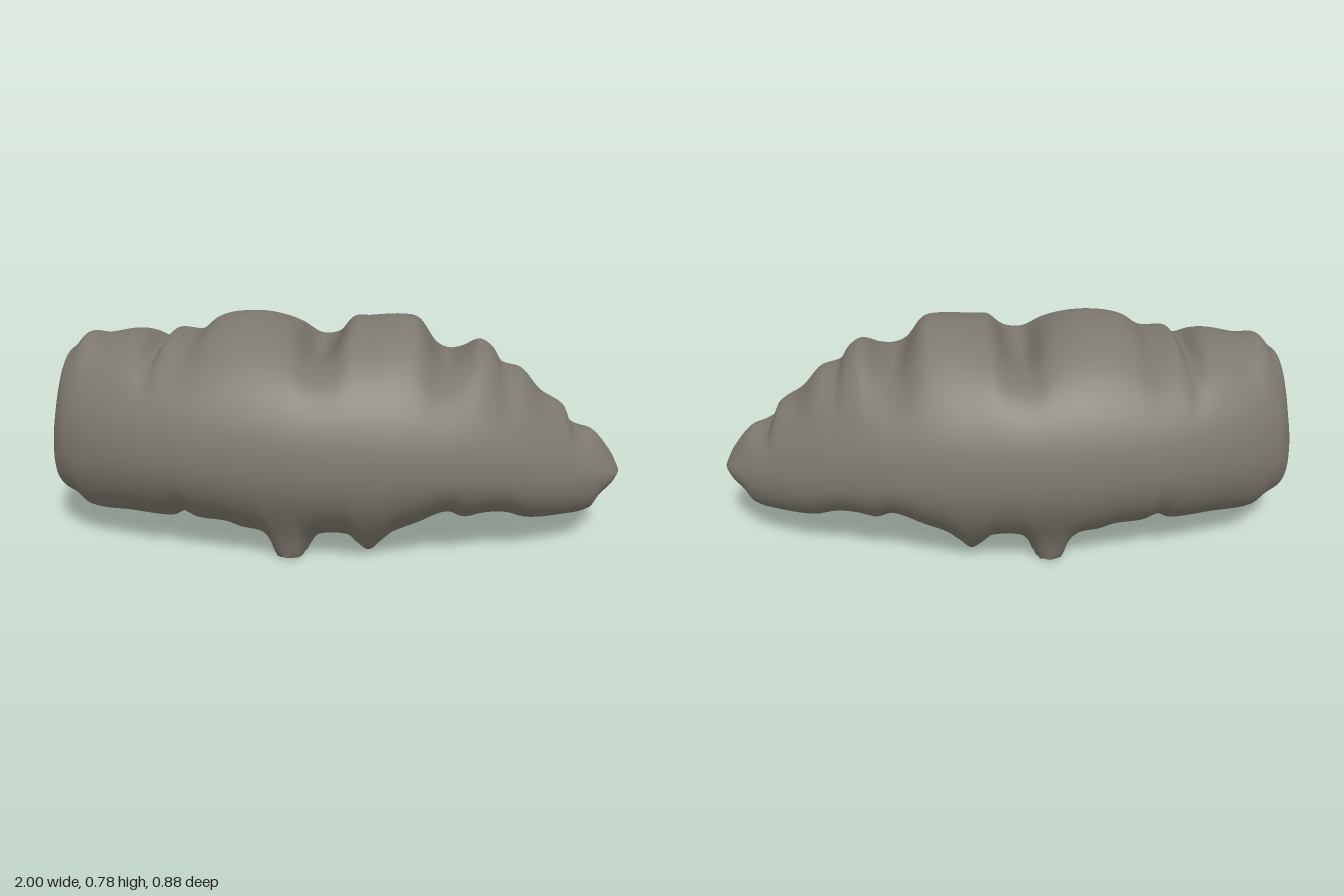
import * as THREE from 'three';
import { toCreasedNormals } from 'three/addons/utils/BufferGeometryUtils.js';

// Smooth curve through [x, value] points
function curveThrough(points) {
  const slope = (i) => {
    const a = points[Math.max(i - 1, 0)], b = points[Math.min(i + 1, points.length - 1)];
    return (b[1] - a[1]) / (b[0] - a[0]);
  };
  return (x) => {
    let i = 0;
    while (i < points.length - 2 && x > points[i + 1][0]) i++;
    const [x0, y0] = points[i], [x1, y1] = points[i + 1];
    const h = x1 - x0, t = (x - x0) / h, t2 = t * t, t3 = t2 * t;
    return (2 * t3 - 3 * t2 + 1) * y0 + (t3 - 2 * t2 + t) * h * slope(i)
      + (3 * t2 - 2 * t3) * y1 + (t3 - t2) * h * slope(i + 1);
  };
}

// Lumpy crest, and the smoother shoulder it fades into
const crest = curveThrough([
  [-1, 0.34], [-0.98, 0.4], [-0.96, 0.46], [-0.945, 0.6], [-0.9, 0.66], [-0.86, 0.7], [-0.8, 0.695],
  [-0.7, 0.71], [-0.65, 0.7], [-0.6, 0.66], [-0.56, 0.71], [-0.48, 0.7], [-0.4, 0.76], [-0.3, 0.78],
  [-0.2, 0.77], [-0.12, 0.73], [-0.06, 0.65], [0, 0.67], [0.06, 0.76], [0.12, 0.77], [0.25, 0.78],
  [0.3, 0.76], [0.36, 0.66], [0.4, 0.64], [0.44, 0.66], [0.5, 0.7], [0.55, 0.67], [0.58, 0.62],
  [0.65, 0.6], [0.72, 0.52], [0.8, 0.47], [0.83, 0.4], [0.9, 0.39], [0.97, 0.31], [1, 0.25],
]);
const shoulder = curveThrough([
  [-1, 0.34], [-0.95, 0.56], [-0.9, 0.65], [-0.8, 0.69], [-0.6, 0.72], [-0.3, 0.77], [0, 0.775],
  [0.2, 0.76], [0.35, 0.72], [0.5, 0.66], [0.7, 0.54], [0.9, 0.37], [1, 0.25],
]);
// Underside; values below zero are cut flat to make the two feet
const belly = curveThrough([
  [-1, 0.16], [-0.95, 0.13], [-0.9, 0.11], [-0.85, 0.07], [-0.7, 0.065], [-0.55, 0.06], [-0.5, 0.085],
  [-0.45, 0.06], [-0.35, 0.05], [-0.3, 0.03], [-0.23, 0.015], [-0.2, -0.02], [-0.17, -0.11],
  [-0.13, -0.14], [-0.09, -0.11], [-0.06, -0.02], [-0.03, 0.015], [0.07, 0.015], [0.1, -0.02],
  [0.14, -0.05], [0.18, -0.01], [0.22, 0.03], [0.3, 0.07], [0.4, 0.12], [0.46, 0.095], [0.53, 0.11],
  [0.6, 0.11], [0.68, 0.085], [0.8, 0.09], [0.9, 0.11], [0.93, 0.16], [0.97, 0.2], [1, 0.25],
]);
// Height of the widest line
const middle = curveThrough([
  [-1, 0.26], [-0.9, 0.35], [-0.5, 0.37], [0, 0.35], [0.5, 0.33], [0.8, 0.27], [1, 0.25],
]);
// Half width, stored squared so the ends come out round
const widthSquared = curveThrough([
  [-1, 0], [-0.95, 0.19], [-0.9, 0.25], [-0.8, 0.31], [-0.6, 0.38], [-0.4, 0.42], [-0.12, 0.44],
  [0.2, 0.42], [0.4, 0.38], [0.6, 0.31], [0.8, 0.21], [0.9, 0.145], [1, 0],
].map(([x, w]) => [x, w * w]));

function bodyGeometry(sections = 260, sides = 96) {
  const positions = [], indices = [];
  for (let i = 0; i <= sections; i++) {
    const x = -Math.cos((Math.PI * i) / sections);
    const w = Math.sqrt(Math.max(widthSquared(x), 0));
    const mid = middle(x), low = belly(x);
    for (let j = 0; j < sides; j++) {
      const a = (2 * Math.PI * j) / sides;
      const s = Math.sin(a);
      let y, z = w * Math.cos(a);
      if (s >= 0) {
        // Lumps are strongest along the ridge and fade down the flanks
        const top = THREE.MathUtils.lerp(shoulder(x), crest(x), s ** 4);
        y = mid + (top - mid) * s;
      } else {
        y = Math.max(mid + (mid - low) * s, 0);
        // Pinch above the feet so they flare out at the ground
        if (low < 0) z *= 1 - 0.09 * Math.min(1, -low / 0.1) * Math.sin(Math.PI * ((mid - y) / mid) ** 2);
      }
      positions.push(x, y, z);
    }
  }
  for (let i = 0; i < sections; i++) {
    for (let j = 0; j < sides; j++) {
      const k = (j + 1) % sides;
      const a = i * sides + j, b = a + sides, c = i * sides + k, d = c + sides;
      indices.push(a, b, c, b, d, c);
    }
  }
  const geometry = new THREE.BufferGeometry();
  geometry.setAttribute('position', new THREE.Float32BufferAttribute(positions, 3));
  geometry.setIndex(indices);
  return toCreasedNormals(geometry, 0.7);
}

export function createModel() {
  const model = new THREE.Group();
  model.name = 'lumpyMound';
  const stone = new THREE.MeshStandardMaterial({ color: 0x7d786e });
  stone.name = 'warm grey';
  const body = new THREE.Mesh(bodyGeometry(), stone);
  body.name = 'body';
  model.add(body);
  return model;
}
